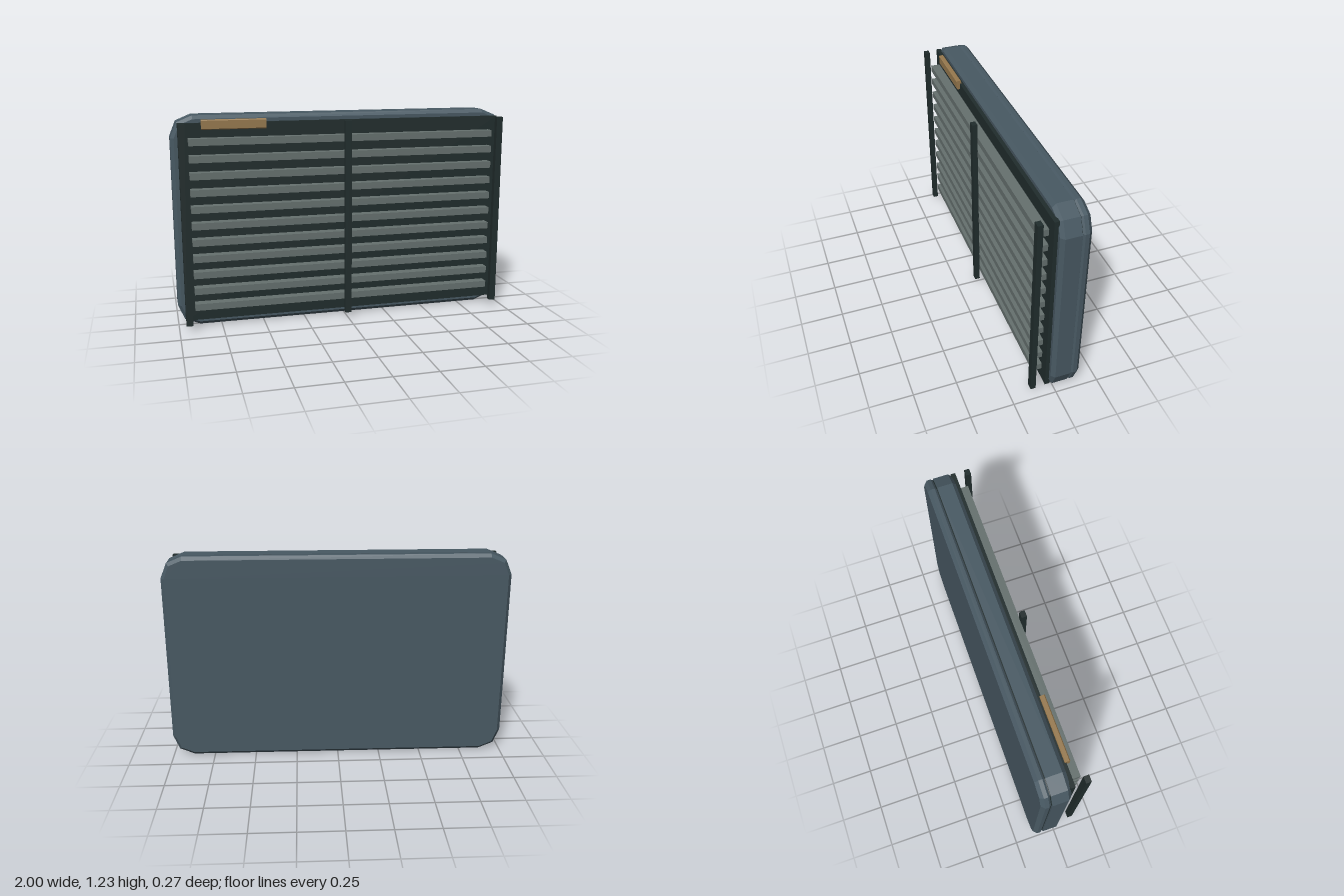
import * as THREE from 'three';

const HEIGHT = 1.23;

// Rounded-rectangle outline (two facets per corner), shrunk by inset, counter-clockwise from the front
function outline(inset) {
  const r = 0.125 - inset, cx = 0.875, cy = HEIGHT / 2 - 0.125;
  const pts = [];
  [[1, 1], [-1, 1], [-1, -1], [1, -1]].forEach(([sx, sy], q) => {
    for (let k = 0; k <= 2; k++) {
      const a = (q + k / 2) * Math.PI / 2;
      pts.push([sx * cx + r * Math.cos(a), HEIGHT / 2 + sy * cy + r * Math.sin(a)]);
    }
  });
  return pts;
}

// Closed solid through [z, inset] sections ordered from back to front
function loft(sections) {
  const rings = sections.map(([z, d]) => outline(d).map(([x, y]) => [x, y, z]));
  const n = rings[0].length, pos = [];
  const tri = (a, b, c) => pos.push(...a, ...b, ...c);
  for (let s = 0; s < rings.length - 1; s++) {
    for (let i = 0; i < n; i++) {
      const j = (i + 1) % n, A = rings[s], B = rings[s + 1];
      tri(A[i], A[j], B[j]);
      tri(A[i], B[j], B[i]);
    }
  }
  const back = rings[0], front = rings[rings.length - 1];
  for (let i = 1; i < n - 1; i++) {
    tri(front[0], front[i], front[i + 1]);
    tri(back[0], back[i + 1], back[i]);
  }
  const g = new THREE.BufferGeometry();
  g.setAttribute('position', new THREE.Float32BufferAttribute(pos, 3));
  g.computeVertexNormals();
  return g;
}

export function createModel() {
  const material = (name, color) => {
    const m = new THREE.MeshStandardMaterial({ color });
    m.name = name;
    return m;
  };
  const casing = material('slate blue casing', 0x485963);
  const dark = material('dark frame', 0x212d2d);
  const slatGrey = material('grey slats', 0x66716f);
  const bronze = material('bronze plate', 0x97794e);

  const model = new THREE.Group();
  model.name = 'louveredPanel';
  const add = (name, geometry, mat, parent = model) => {
    const mesh = new THREE.Mesh(geometry, mat);
    mesh.name = name;
    parent.add(mesh);
    return mesh;
  };
  // Box given by its extents
  const box = (name, mat, x0, x1, y0, y1, z0, z1, parent) => {
    const mesh = add(name, new THREE.BoxGeometry(x1 - x0, y1 - y0, z1 - z0), mat, parent);
    mesh.position.set((x0 + x1) / 2, (y0 + y1) / 2, (z0 + z1) / 2);
    return mesh;
  };

  // Chamfered casing in two halves with a dark recessed seam
  add('frontCasing', loft([[-0.08, 0], [0.01, 0], [0.03, 0.02]]), casing);
  add('seam', loft([[-0.086, 0.01], [-0.079, 0.01]]), dark);
  add('backCasing', loft([[-0.137, 0.02], [-0.117, 0], [-0.095, 0], [-0.085, 0.008]]), casing);

  // Backing panel behind the slats
  box('backingPanel', dark, -0.96, 0.96, 0.04, 1.19, 0.025, 0.052);

  // Horizontal slats
  const slats = new THREE.Group();
  slats.name = 'slats';
  model.add(slats);
  for (let i = 0; i < 11; i++) {
    const y = 0.134 + i * 0.0955;
    box('slat', slatGrey, -0.905, 0.905, y - 0.0195, y + 0.0195, 0.045, 0.108, slats);
  }

  // Upright bars in front of the slats
  for (const x of [-0.942, 0, 0.942]) {
    box('uprightBar', dark, x - 0.019, x + 0.019, 0.035, 1.19, 0.107, 0.137);
  }

  // Small chamfered plate at the top of the panel
  const c = 0.005, w = 0.0145, h = 0.028;
  const section = new THREE.Shape([
    [-w + c, -h], [w - c, -h], [w, -h + c], [w, h - c],
    [w - c, h], [-w + c, h], [-w, h - c], [-w, -h + c],
  ].map(([a, b]) => new THREE.Vector2(a, b)));
  const plate = new THREE.ExtrudeGeometry(section, { depth: 0.365, bevelEnabled: false });
  plate.rotateY(Math.PI / 2);
  add('namePlate', plate, bronze).position.set(-0.83, 1.181, 0.0575);

  return model;
}
